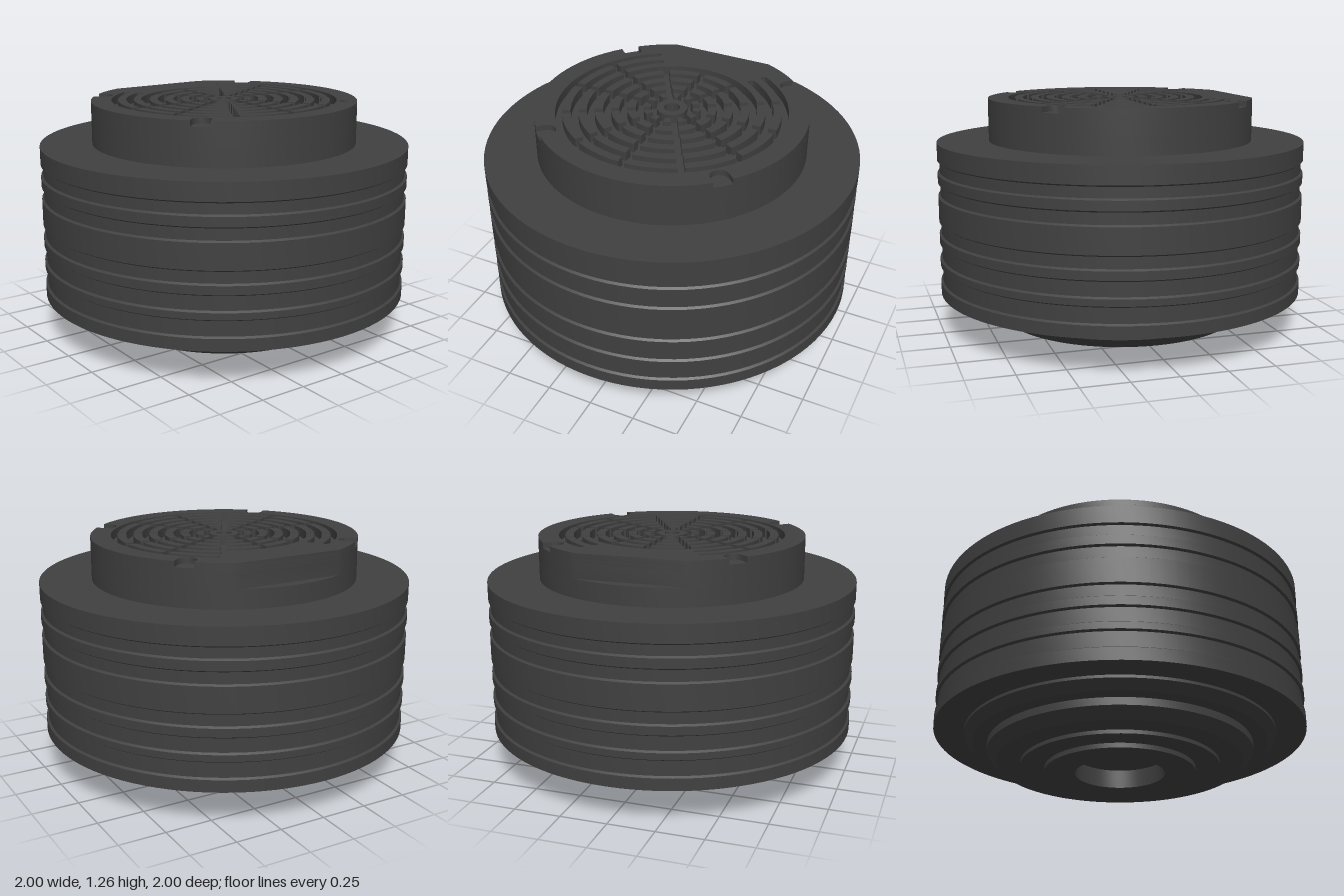
import * as THREE from 'three';
import { mergeGeometries, toCreasedNormals } from 'three/addons/utils/BufferGeometryUtils.js';

const RAD = Math.PI / 180;
const CAP_R = 0.72, FLAT_X = 0.66;            // cap radius, distance of its flat side
const FLOOR_Y = 1.21, NOTCH_Y = 1.23, TOP_Y = 1.26;
const SPOKE = 0.017;                          // half width of the radial channels
const SLOT_END = 33 * RAD;                    // where the outer channels stop beside the flat

// Polar point; angle is measured from the flat side (-x)
const polar = (r, t) => new THREE.Vector2(-r * Math.cos(t), -r * Math.sin(t));

function arc(pts, r, a, b) {
  const n = Math.max(2, Math.ceil(Math.abs(b - a) / (4 * RAD)));
  for (let i = 0; i <= n; i++) pts.push(polar(r, a + (b - a) * i / n));
}

// Horizontal slab of a shape between two heights
function slab(shape, y0, y1) {
  const g = new THREE.ExtrudeGeometry(shape, { depth: y1 - y0, bevelEnabled: false, curveSegments: 32 });
  g.rotateX(-Math.PI / 2).translate(0, y0, 0);
  return toCreasedNormals(g, 30 * RAD);
}

// Cap outline with one flat side and optional U-shaped rim notches
function capOutline(notched) {
  const pts = [], end = Math.acos(FLAT_X / CAP_R), half = 0.05, da = Math.asin(half / CAP_R);
  let t = end;
  if (notched) for (const deg of [45, 135, 225, 315]) {
    const c = deg * RAD;
    arc(pts, CAP_R, t, c - da);
    for (let i = 0; i <= 10; i++) {
      const u = Math.PI * i / 10;
      const radial = 0.675 - half * Math.sin(u), side = -half * Math.cos(u);
      pts.push(polar(Math.hypot(radial, side), c + Math.atan2(side, radial)));
    }
    t = c + da;
  }
  arc(pts, CAP_R, t, 2 * Math.PI - end);
  return new THREE.Shape(pts);
}

// Half of the vent opening's edge, from the flat side round to the outer ring
function ventHalf() {
  const pts = [], spokeEdge = r => 60 * RAD - Math.asin(SPOKE / r);
  const roundEnd = (rIn, rOut) => {
    const m = (rIn + rOut) / 2, h = (rOut - rIn) / 2;
    for (let i = 1; i < 8; i++) {
      const u = Math.PI * i / 8;
      pts.push(polar(m - h * Math.cos(u), SLOT_END - h * Math.sin(u) / m));
    }
  };
  arc(pts, 0.45, 0, spokeEdge(0.45));
  arc(pts, 0.49, spokeEdge(0.49), SLOT_END);
  roundEnd(0.49, 0.53);
  arc(pts, 0.53, SLOT_END, spokeEdge(0.53));
  arc(pts, 0.575, spokeEdge(0.575), SLOT_END);
  roundEnd(0.575, 0.61);
  arc(pts, 0.61, SLOT_END, Math.PI);
  return pts;
}

function ventHole() {
  const half = ventHalf();
  const mirrored = half.slice(1, -1).reverse().map(p => new THREE.Vector2(p.x, -p.y));
  return new THREE.Path([...half, ...mirrored]);
}

export function createModel() {
  const group = new THREE.Group();
  const material = new THREE.MeshStandardMaterial({ color: 0x404040 });
  const add = (name, geometry) => {
    const mesh = new THREE.Mesh(geometry, material);
    mesh.name = name;
    group.add(mesh);
  };

  // Stepped underside with a centre hole
  const profile = [[0, 0.1], [0.24, 0.1], [0.24, 0], [0.405, 0], [0.405, 0.025], [0.535, 0.025],
    [0.535, 0.045], [0.66, 0.045], [0.715, 0.1], [0.715, 0.14], [0.79, 0.14], [0.84, 0.185], [0.84, 0.2]];
  // Ribbed side wall
  const ribs = [[0.2, 0.265], [0.36, 0.395], [0.485, 0.53], [0.605, 0.74], [0.815, 0.865], [0.935, 1.03]];
  ribs.forEach(([a, b], i) => {
    if (i > 0) profile.push([0.988, a - 0.008]);
    profile.push([1, a], [1, b]);
    if (i < ribs.length - 1) profile.push([0.988, b + 0.008]);
  });
  // Shoulder and lower part of the cap, which forms the ledge by the flat
  profile.push([CAP_R, 1.03], [CAP_R, 1.13], [0, 1.13]);
  const lathe = new THREE.LatheGeometry(profile.map(p => new THREE.Vector2(...p)), 96);
  add('ribbedBody', toCreasedNormals(lathe, 25 * RAD));

  // Cap: solid floor, then two layers around the vent channels
  add('capBase', slab(capOutline(false), 1.13, FLOOR_Y));
  const lower = capOutline(false), upper = capOutline(true);
  lower.holes.push(ventHole());
  upper.holes.push(ventHole());
  add('capLower', slab(lower, FLOOR_Y, NOTCH_Y));
  add('capRim', slab(upper, NOTCH_Y, TOP_Y));

  // Concentric vent ribs, split by twelve radial channels
  const rings = [[0.11, 0.15], [0.19, 0.235], [0.275, 0.32], [0.36, 0.405], [0.445, 0.49], [0.53, 0.575]];
  const segments = [];
  rings.forEach(([r0, r1], ring) => {
    // The two outer rings leave the flat side free
    const first = ring > 3 ? 2 : 0;
    for (let k = first; k < 12 - first; k++) {
      const a = k * 30 * RAD, b = a + 30 * RAD, pts = [];
      const d0 = Math.asin(SPOKE / r0), d1 = Math.asin(SPOKE / r1);
      arc(pts, r1, a + d1, b - d1);
      arc(pts, r0, b - d0, a + d0);
      segments.push(slab(new THREE.Shape(pts), FLOOR_Y, TOP_Y));
    }
  });
  // Ribs joined to the plate across the flat side
  const innerBand = [];
  arc(innerBand, 0.49, -50 * RAD, 50 * RAD);
  add('ventRibs', mergeGeometries(segments));

  // Hub ring in the middle of the vent
  const hub = new THREE.Shape().absarc(0, 0, 0.08, 0, Math.PI * 2);
  hub.holes.push(new THREE.Path().absarc(0, 0, 0.042, 0, Math.PI * 2));
  add('ventHub', slab(hub, FLOOR_Y, TOP_Y));

  return group;
}
